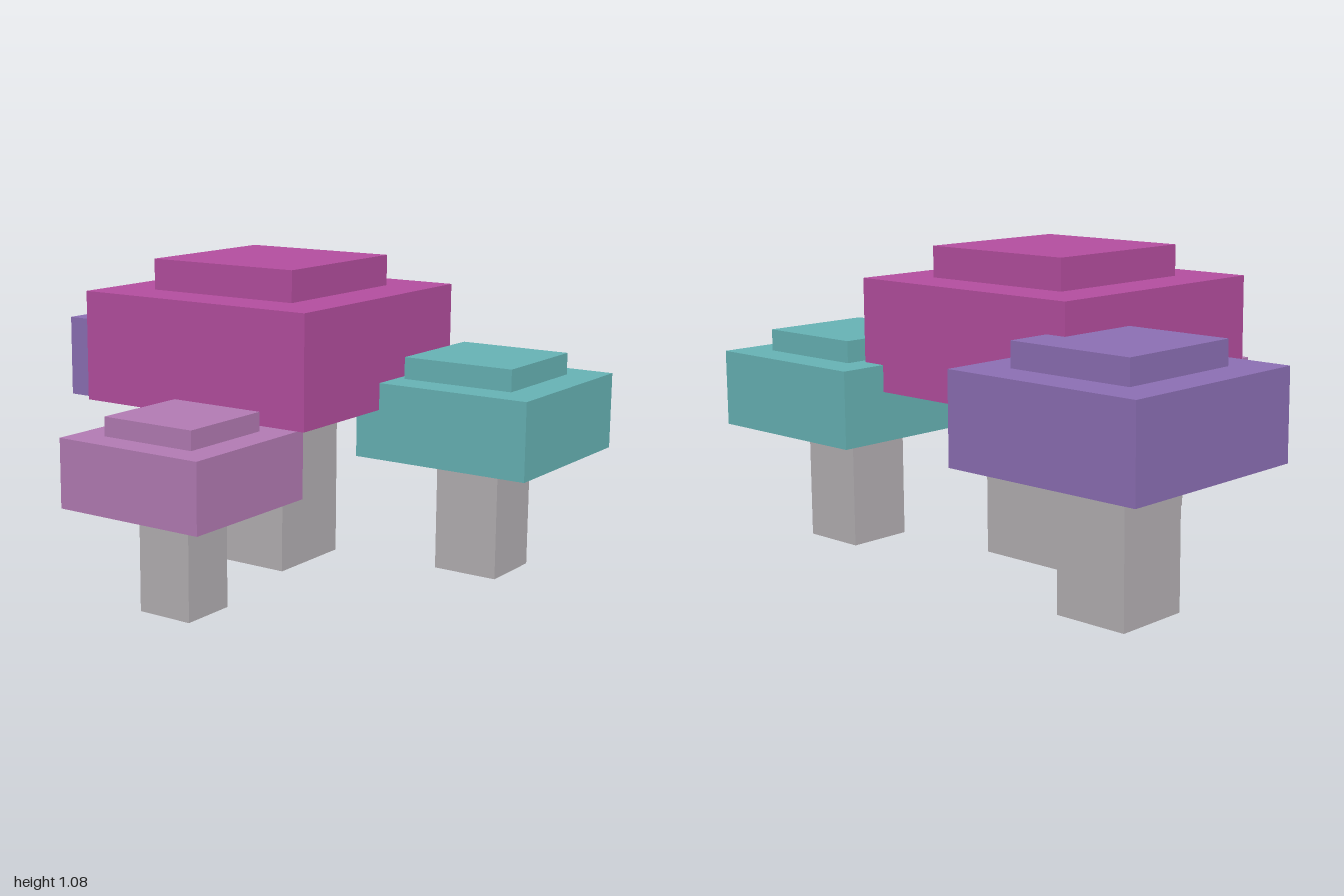
import * as THREE from 'three';

const flat = (name, color) => new THREE.MeshStandardMaterial({
  name, color, flatShading: true, side: THREE.DoubleSide,
});

function squareCorners(s) {
  const h = s / 2;
  return [[-h, -h], [h, -h], [h, h], [-h, h]].map(([x, y]) => new THREE.Vector2(x, y));
}

// Four upright walls, open above and below
function walls(size, y0, y1) {
  const r = size / Math.SQRT2;
  return new THREE.CylinderGeometry(r, r, y1 - y0, 4, 1, true)
    .rotateY(Math.PI / 4)
    .translate(0, (y0 + y1) / 2, 0);
}

// Flat square facing up, with an optional square hole
function plate(size, y, hole) {
  const shape = new THREE.Shape(squareCorners(size));
  if (hole) shape.holes.push(new THREE.Path(squareCorners(hole).reverse()));
  return new THREE.ShapeGeometry(shape).rotateX(-Math.PI / 2).translate(0, y, 0);
}

function mushroom({ name, x, z, cap, step, stem, y, capMat, stemMat }) {
  const g = new THREE.Group();
  g.name = name;
  g.position.set(x, 0, z);
  const add = (part, geo, mat) => {
    const m = new THREE.Mesh(geo, mat);
    m.name = part;
    g.add(m);
  };
  const [bottom, shoulder, top] = y;
  add('stem', walls(stem, 0, bottom), stemMat);
  // Hollow cap, open underneath, with a raised hollow step
  add('capWalls', walls(cap, bottom, shoulder), capMat);
  add('capShoulder', plate(cap, shoulder, step), capMat);
  add('stepWalls', walls(step, shoulder, top), capMat);
  add('stepTop', plate(step, top), capMat);
  return g;
}

export function createModel() {
  const model = new THREE.Group();
  model.name = 'mushroomCluster';
  const stemMat = flat('stemGrey', 0xb3afb2);

  [
    { name: 'largeMushroom', x: -0.016, z: -0.108, cap: 0.92, step: 0.584, stem: 0.336,
      y: [0.587, 0.97, 1.078], capMat: flat('magenta', 0xb34d9e) },
    { name: 'rightMushroom', x: -0.633, z: -0.495, cap: 0.734, step: 0.466, stem: 0.27,
      y: [0.472, 0.777, 0.862], capMat: flat('violet', 0x8b6eb3) },
    { name: 'leftMushroom', x: 0.676, z: -0.418, cap: 0.645, step: 0.41, stem: 0.236,
      y: [0.414, 0.68, 0.756], capMat: flat('teal', 0x66b2b4) },
    { name: 'smallMushroom', x: 0.136, z: 0.584, cap: 0.55, step: 0.35, stem: 0.2,
      y: [0.354, 0.584, 0.648], capMat: flat('pink', 0xb27ab3) },
  ].forEach((m) => model.add(mushroom({ ...m, stemMat })));

  return model;
}
